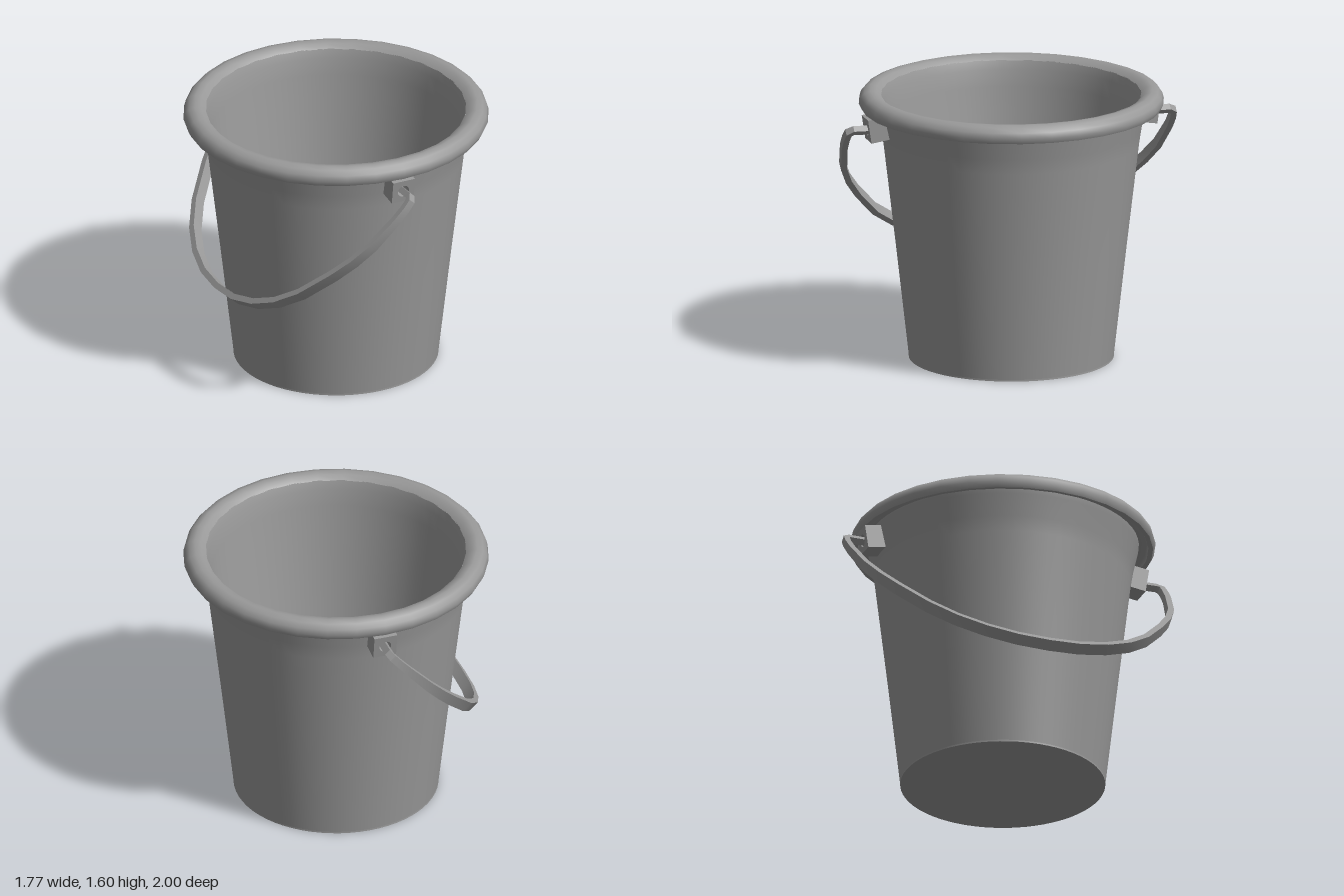
import * as THREE from 'three';
import { toCreasedNormals } from 'three/addons/utils/BufferGeometryUtils.js';

const grey = new THREE.MeshStandardMaterial({ color: 0x999999 });
grey.name = 'grey';

function part(name, geometry) {
  const mesh = new THREE.Mesh(geometry, grey);
  mesh.name = name;
  return mesh;
}

// Turned surface; profile points are [radius, height]
function turned(name, profile, segments) {
  return part(name, new THREE.LatheGeometry(profile.map(([r, y]) => new THREE.Vector2(r, y)), segments));
}

function disc(name, radius, y, up) {
  const mesh = part(name, new THREE.CircleGeometry(radius, 64));
  mesh.rotation.x = up ? -Math.PI / 2 : Math.PI / 2;
  mesh.position.y = y;
  return mesh;
}

// Square lug with a round hole, outer face at local z = 0
function lugGeometry() {
  const s = 0.07;
  const shape = new THREE.Shape();
  shape.moveTo(-s, -s).lineTo(s, -s).lineTo(s, s).lineTo(-s, s).closePath();
  const hole = new THREE.Path();
  hole.absarc(0, 0, 0.036, 0, Math.PI * 2, true);
  shape.holes.push(hole);
  return new THREE.ExtrudeGeometry(shape, { depth: 0.12, bevelEnabled: false, curveSegments: 12 }).translate(0, 0, -0.12);
}

// Flat strap swept along a path in the local yz plane
function handleGeometry() {
  // [z, distance from pivot, half width]
  const half = [
    [0.8, 0, 0.02], [0.95, -0.005, 0.02], [0.977, 0.015, 0.022], [0.982, 0.07, 0.022], [0.978, 0.16, 0.024],
    [0.945, 0.36, 0.029], [0.89, 0.5, 0.031], [0.81, 0.64, 0.033], [0.67, 0.84, 0.034],
    [0.53, 0.97, 0.034], [0.37, 1.06, 0.034], [0.19, 1.115, 0.034],
  ];
  const path = [...half, [0, 1.13, 0.034], ...half.map(([z, d, w]) => [-z, d, w]).reverse()];
  const thick = 0.018, pos = [], index = [], last = path.length - 1;
  path.forEach(([z, d, w], i) => {
    const a = path[Math.max(i - 1, 0)], b = path[Math.min(i + 1, last)];
    const t = new THREE.Vector2(b[0] - a[0], a[1] - b[1]).normalize(); // (z, y)
    for (const [sx, sn] of [[1, 1], [-1, 1], [-1, -1], [1, -1]]) {
      pos.push(sx * w, -d + sn * thick * t.x, z - sn * thick * t.y);
    }
    if (i === last) return;
    for (let k = 0; k < 4; k++) {
      const p = i * 4 + k, q = i * 4 + (k + 1) % 4;
      index.push(p, q, q + 4, p, q + 4, p + 4);
    }
  });
  const e = last * 4;
  index.push(0, 3, 2, 0, 2, 1, e, e + 1, e + 2, e, e + 2, e + 3);
  const geometry = new THREE.BufferGeometry();
  geometry.setAttribute('position', new THREE.Float32BufferAttribute(pos, 3));
  geometry.setIndex(index);
  return toCreasedNormals(geometry, 0.5);
}

export function createModel() {
  const model = new THREE.Group();
  model.name = 'bucket';

  // Tapered wall and floor
  model.add(
    turned('outerWall', [[0.595, 0.01], [0.67, 0.67], [0.742, 1.28], [0.756, 1.37], [0.785, 1.5], [0.79, 1.535]], 64),
    turned('innerWall', [[0.755, 1.572], [0.738, 1.52], [0.722, 1.42], [0.705, 1.28], [0.53, 0.05]], 64),
    disc('floor', 0.53, 0.05, true),
    disc('base', 0.595, 0.005, false),
    turned('baseEdge', [[0.595, 0], [0.595, 0.01]], 64),
  );
  model.getObjectByName('base').position.y = 0;

  // Rolled rim with a shallow recess beneath
  model.add(
    turned('rim', [[0.872, 1.497], [0.887, 1.528], [0.878, 1.562], [0.855, 1.588], [0.82, 1.6], [0.785, 1.593], [0.755, 1.57]], 32),
    turned('rimLip', [[0.845, 1.5], [0.872, 1.497]], 32),
    turned('rimUnderside', [[0.785, 1.53], [0.835, 1.53], [0.845, 1.5]], 32),
  );

  // Lugs on the front and back
  for (const [name, turn] of [['frontLug', 0], ['backLug', Math.PI]]) {
    const side = new THREE.Group();
    side.name = name;
    side.rotation.y = turn;
    const lug = part(name + 'Block', lugGeometry());
    lug.position.set(0, 1.417, 0.87);
    lug.rotation.x = 0.15;
    side.add(lug);
    model.add(side);
  }

  // Handle hanging towards the model's right
  const handle = part('handle', handleGeometry());
  handle.position.y = 1.412;
  handle.rotation.z = -0.73;
  model.add(handle);

  return model;
}
